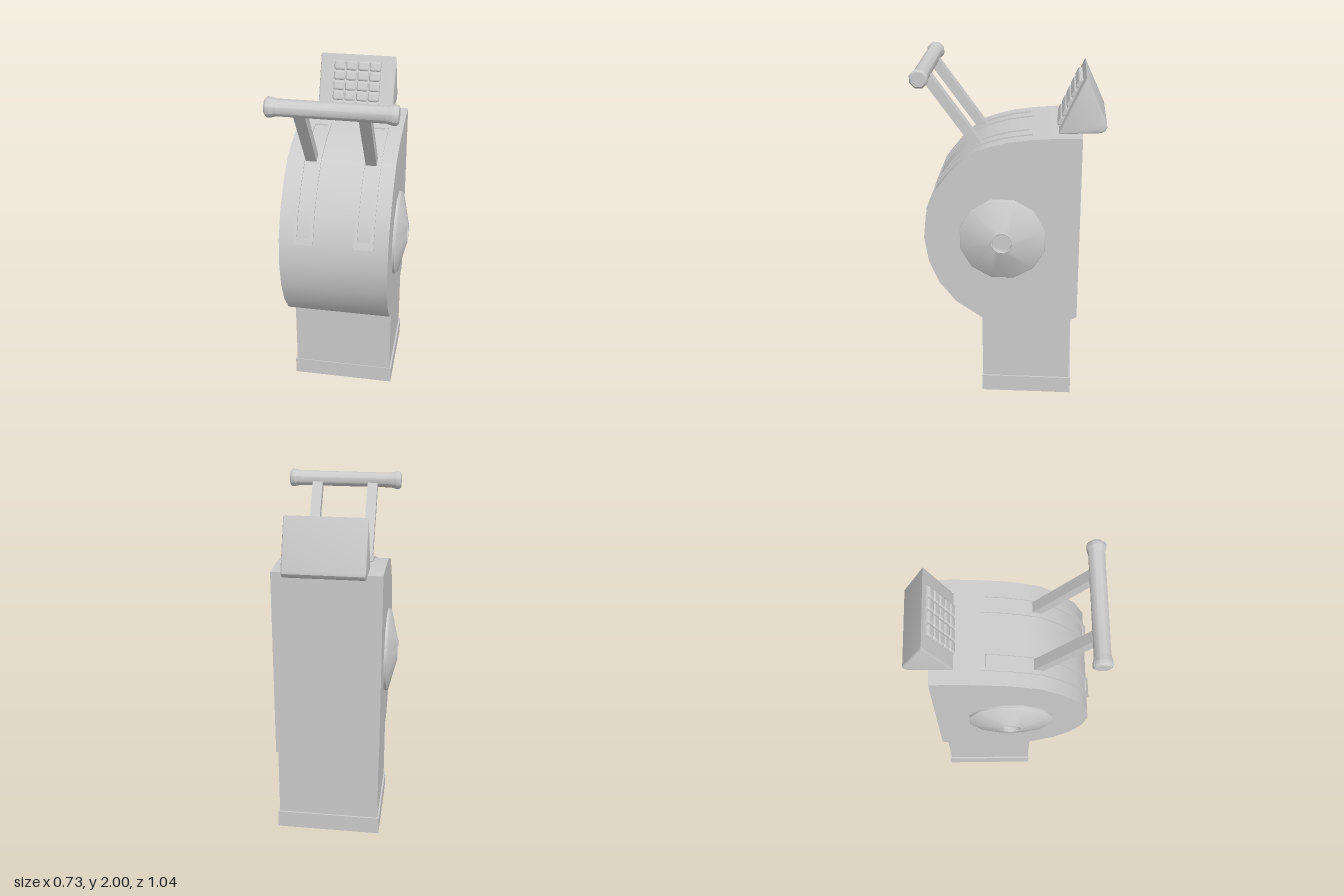
import * as THREE from 'three';
import { toCreasedNormals } from 'three/addons/utils/BufferGeometryUtils.js';
import { RoundedBoxGeometry } from 'three/addons/geometries/RoundedBoxGeometry.js';

const material = new THREE.MeshStandardMaterial({ color: 0xcccccc });

function add(parent, name, geometry, x = 0, y = 0, z = 0) {
  const mesh = new THREE.Mesh(geometry, material);
  mesh.name = name;
  mesh.position.set(x, y, z);
  parent.add(mesh);
  return mesh;
}

const toShape = (points) => new THREE.Shape(points.map(([a, b]) => new THREE.Vector2(a, b)));

// Extrude a side profile of [z, y] points across x, centred on x = 0
function slab(points, width, bevel = 0) {
  const g = new THREE.ExtrudeGeometry(toShape(points), {
    depth: width - 2 * bevel, bevelEnabled: bevel > 0, bevelSize: bevel,
    bevelThickness: bevel, bevelOffset: -bevel, bevelSegments: 3,
  });
  g.translate(0, 0, -(width - 2 * bevel) / 2);
  g.rotateY(-Math.PI / 2);
  return toCreasedNormals(g, 0.6);
}

// Rectangular tube standing on y = 0, open at both ends
function hollowBox(w, d, h, wall) {
  const rect = (a, b) => [[-a, -b], [a, -b], [a, b], [-a, b]];
  const shape = toShape(rect(w / 2, d / 2));
  shape.holes.push(toShape(rect(w / 2 - wall, d / 2 - wall).reverse()));
  const g = new THREE.ExtrudeGeometry(shape, { depth: h, bevelEnabled: false });
  return g.rotateX(-Math.PI / 2);
}

// Turn [radius, height] pairs around the x axis, with a flat side on top
function turned(profile, sides) {
  const g = new THREE.LatheGeometry(profile.map(([r, h]) => new THREE.Vector2(r, h)), sides);
  g.rotateY(Math.PI / sides);
  g.rotateZ(-Math.PI / 2);
  return toCreasedNormals(g, 0.8);
}

// Raised band that follows the drum surface
function band(points, width) {
  const offset = (d) => points.map(([z, y]) => {
    const dz = z + 0.05, dy = y - 1.05, k = 1 + d / Math.hypot(dz, dy);
    return [-0.05 + dz * k, 1.05 + dy * k];
  });
  return slab([...offset(-0.01), ...offset(0.008).reverse()], width);
}

export function createModel() {
  const model = new THREE.Group();
  model.name = 'leverConsole';

  // Pedestal
  add(model, 'base', hollowBox(0.61, 0.535, 0.105, 0.045), 0, 0, -0.0975);
  add(model, 'pedestal', hollowBox(0.59, 0.52, 0.53, 0.03), 0, 0, -0.095);

  // Drum body: flat back, rounded front
  const slotArc = [[-0.12, 1.624], [0.01, 1.606], [0.1, 1.582], [0.2, 1.545], [0.31, 1.45],
    [0.41, 1.325], [0.47, 1.18]];
  add(model, 'drumBody', slab([
    [-0.39, 1.635], [-0.24, 1.633], ...slotArc, [0.487, 1.03], [0.465, 0.88], [0.41, 0.745],
    [0.315, 0.62], [0.165, 0.515], [-0.355, 0.515], [-0.39, 0.535],
  ].reverse(), 0.6));

  for (const side of [1, -1]) {
    // Side hub with a sunken centre
    const hub = add(model, 'sideHub', turned([
      [0.248, 0], [0.248, 0.015], [0.24, 0.022], [0.066, 0.065], [0.06, 0.068],
      [0.056, 0.066], [0.056, 0.04], [0, 0.04],
    ], 12), side * 0.298, 1.035, 0.042);
    if (side < 0) hub.rotation.y = Math.PI;

    // Slot frame on the drum
    const frame = new THREE.Group();
    frame.name = 'slotFrame';
    frame.position.x = side * 0.165;
    model.add(frame);
    for (const s of [1, -1]) add(frame, 'slotRail', band(slotArc, 0.02), s * 0.045);
    add(frame, 'slotTopEnd', band([[-0.12, 1.624], [-0.095, 1.621]], 0.11));
    add(frame, 'slotBottomEnd', band([[0.46, 1.203], [0.475, 1.165]], 0.11));

    // Lever arm leaning forward out of the slot
    const arm = add(model, 'leverArm', new THREE.BoxGeometry(0.06, 0.53, 0.053),
      side * 0.165, 1.735, 0.317);
    arm.rotation.x = Math.atan2(0.285, 0.4);
  }

  // Grip bar with flared ends
  add(model, 'gripBar', turned([
    [0, -0.335], [0.042, -0.335], [0.052, -0.325], [0.052, -0.305], [0.044, -0.275],
    [0.044, 0.275], [0.052, 0.305], [0.052, 0.325], [0.042, 0.335], [0, 0.335],
  ], 8), 0, 1.952, 0.472);

  // Wedge housing on top
  add(model, 'keypadHousing', slab([
    [-0.26, 1.63], [-0.4, 1.945], [-0.518, 1.69], [-0.52, 1.67], [-0.508, 1.65], [-0.487, 1.64],
  ].reverse(), 0.44, 0.01));

  // Keypad on the sloping face
  const keypad = new THREE.Group();
  keypad.name = 'keypad';
  keypad.position.set(0, 1.635, -0.26);
  keypad.rotation.x = -Math.atan2(0.14, 0.315);
  model.add(keypad);
  add(keypad, 'keypadPlate', new THREE.BoxGeometry(0.27, 0.285, 0.02), 0, 0.158, 0);
  for (let row = 0; row < 5; row++) {
    for (let col = 0; col < 4; col++) {
      add(keypad, 'key', new RoundedBoxGeometry(0.066, 0.056, 0.03, 2, 0.013),
        (col - 1.5) * 0.069, 0.042 + row * 0.058, 0.005);
    }
  }
  return model;
}
